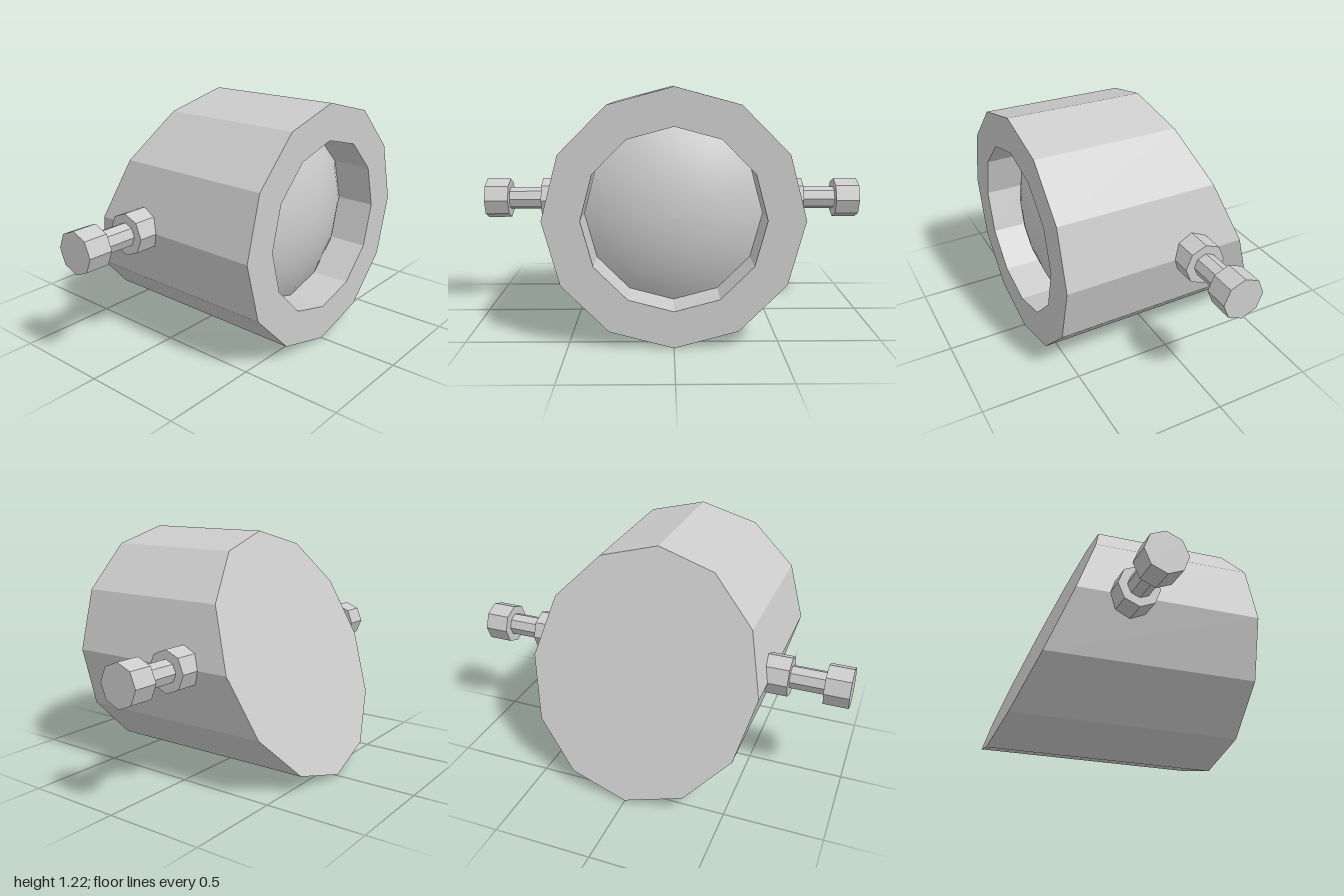
import * as THREE from 'three';

const CY = 0.61; // height of the main axis

export function createModel() {
  const group = new THREE.Group();
  const flat = new THREE.MeshStandardMaterial({ color: 0xcccccc, flatShading: true });
  const smooth = new THREE.MeshStandardMaterial({ color: 0xcccccc });

  const add = (name, geometry, material, parent = group) => {
    const mesh = new THREE.Mesh(geometry, material);
    mesh.name = name;
    parent.add(mesh);
    return mesh;
  };

  // Twelve-sided solid turned around the x axis; points are [radius, x]
  const turnX = (points) => new THREE.LatheGeometry(
    points.map(([r, x]) => new THREE.Vector2(r, x)), 12).rotateZ(-Math.PI / 2);

  // Housing with a recessed mouth; its back end is sheared into a slope
  const housing = turnX([[0, -0.345], [0.602, -0.345], [0.608, 0.59], [0.43, 0.59], [0.43, 0.39]]);
  const pos = housing.attributes.position;
  for (let i = 0; i < pos.count; i++) {
    if (pos.getX(i) < 0) pos.setX(i, pos.getX(i) + pos.getY(i) * 0.407);
  }
  housing.computeVertexNormals();
  add('housing', housing, flat).position.y = CY;

  // Bulging lens at the bottom of the recess
  const bulge = 0.12, rim = 0.43;
  const sphereR = (rim * rim + bulge * bulge) / (2 * bulge);
  const maxAngle = Math.asin(rim / sphereR);
  const arc = [];
  for (let i = 0; i <= 8; i++) {
    const a = maxAngle * (1 - i / 8);
    arc.push([sphereR * Math.sin(a), 0.39 + bulge - sphereR * (1 - Math.cos(a))]);
  }
  add('lens', turnX(arc), smooth).position.y = CY;

  // Octagonal mounting pins on both sides: collar, shaft, head
  for (const side of [1, -1]) {
    const pin = new THREE.Group();
    pin.name = side > 0 ? 'frontPin' : 'backPin';
    pin.position.set(-0.075, CY, 0);
    for (const [name, r, z0, z1] of [
      ['collar', 0.105, 0.5, 0.7],
      ['shaft', 0.06, 0.69, 0.885],
      ['head', 0.105, 0.875, 1],
    ]) {
      const g = new THREE.CylinderGeometry(r, r, z1 - z0, 8).rotateX(Math.PI / 2);
      add(name, g, flat, pin).position.z = side * (z0 + z1) / 2;
    }
    group.add(pin);
  }
  return group;
}
